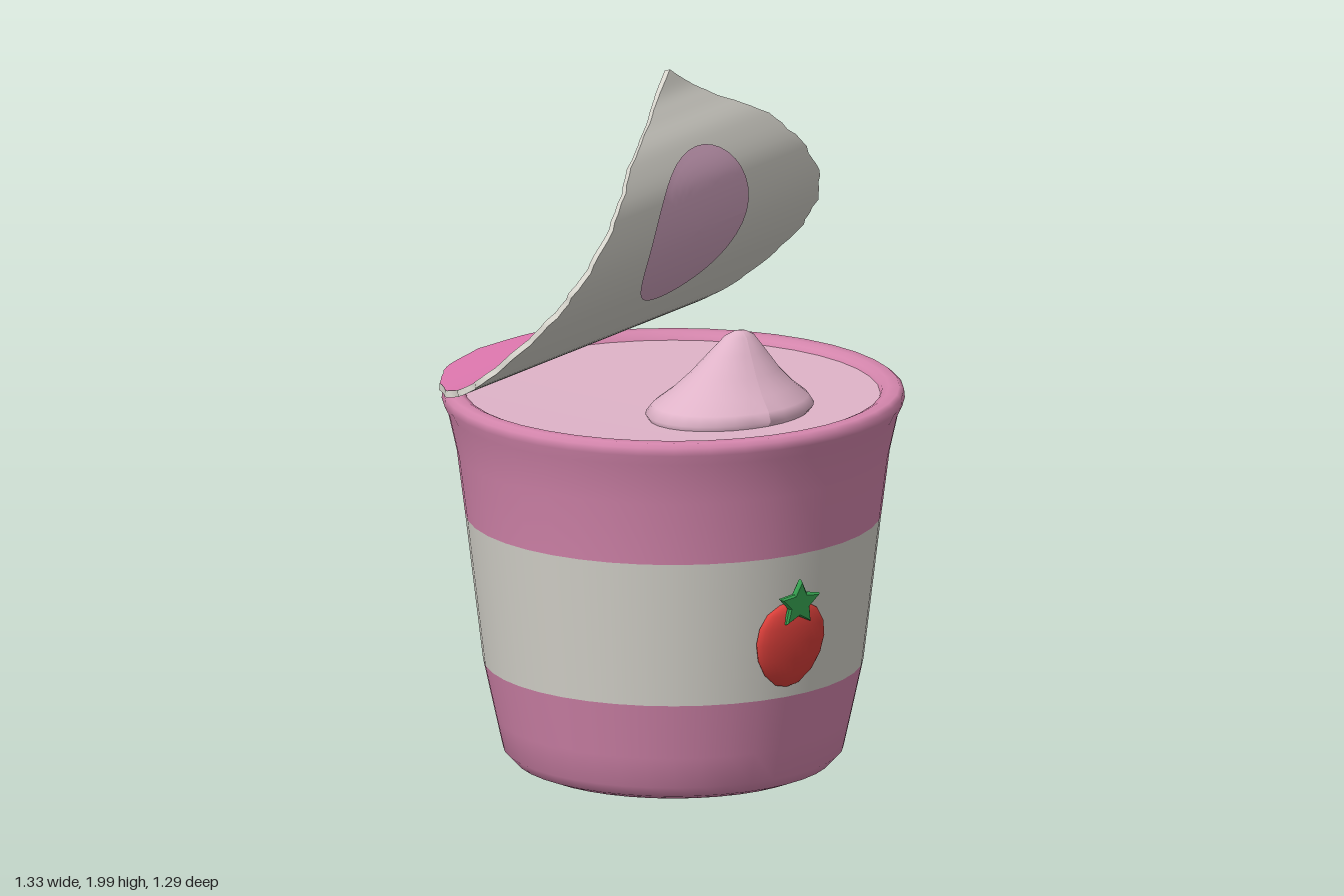
import * as THREE from 'three';

const paint = (name, color, side = THREE.FrontSide) => {
  const m = new THREE.MeshStandardMaterial({ color, side });
  m.name = name;
  return m;
};

// Grid surface from a rule fn(u, v) -> Vector3
function sheet(nu, nv, fn) {
  const pos = [], idx = [];
  for (let i = 0; i <= nu; i++) {
    for (let j = 0; j <= nv; j++) {
      const p = fn(i / nu, j / nv);
      pos.push(p.x, p.y, p.z);
      if (i < nu && j < nv) {
        const a = i * (nv + 1) + j, b = a + nv + 1;
        idx.push(a, a + 1, b, b, a + 1, b + 1);
      }
    }
  }
  const g = new THREE.BufferGeometry();
  g.setAttribute('position', new THREE.Float32BufferAttribute(pos, 3));
  g.setIndex(idx);
  g.computeVertexNormals();
  return g;
}

const lathe = (pts, segments = 40) =>
  new THREE.LatheGeometry(pts.map(([r, y]) => new THREE.Vector2(r, y)), segments);

// Peeled lid cross-sections: distance forward, height, half width
const lidCurve = new THREE.CatmullRomCurve3([
  [-0.645, 1.09, 0], [-0.61, 1.09, 0.22], [-0.5, 1.097, 0.42], [-0.38, 1.125, 0.545],
  [-0.25, 1.19, 0.63], [-0.11, 1.3, 0.655], [0.02, 1.43, 0.645], [0.095, 1.555, 0.595],
  [0.115, 1.68, 0.49], [0.08, 1.8, 0.35], [0.03, 1.88, 0.18], [0, 1.93, 0.09], [-0.02, 1.99, 0],
].map((p) => new THREE.Vector3(...p)));
const SIN = 0.36, COS = 0.933;

// Point on the lid: u along the peel, t across it, off towards the front/underside
function lidPoint(u, t, off) {
  const p = lidCurve.getPoint(u), d = lidCurve.getTangent(u);
  const len = Math.hypot(d.x, d.y) || 1;
  const s = p.x + (off * d.y) / len, y = p.y - (off * d.x) / len;
  return new THREE.Vector3(SIN * s + COS * t, y, COS * s - SIN * t);
}

// Slightly ragged torn edge
const lidWidth = (u) => Math.max(0, lidCurve.getPoint(u).z)
  * (1 + 0.012 * Math.sin(u * 95) + 0.008 * Math.sin(u * 211));

// Peel parameter at a given height
function uAtHeight(y) {
  let lo = 0.2, hi = 1;
  for (let i = 0; i < 24; i++) {
    const mid = (lo + hi) / 2;
    if (lidCurve.getPoint(mid).y < y) lo = mid; else hi = mid;
  }
  return lo;
}

export function createModel() {
  const model = new THREE.Group();
  const pink = paint('cup pink', 0xd586ad);
  const white = paint('off white', 0xd6d4cc, THREE.DoubleSide);
  const hotPink = paint('lid pink', 0xe078b0, THREE.DoubleSide);
  const cream = paint('pale pink cream', 0xdfb3c8);
  const spot = paint('lid spot pink', 0xd3a5c1, THREE.DoubleSide);
  const red = paint('berry red', 0xdb3f3a);
  const green = paint('leaf green', 0x35a04f);

  const add = (name, geometry, material, parent = model) => {
    const m = new THREE.Mesh(geometry, material);
    m.name = name;
    parent.add(m);
    return m;
  };

  // Cup in three colour bands
  add('cupBase', lathe([[0, 0.01], [0.4, 0], [0.445, 0.018], [0.475, 0.05], [0.495, 0.14], [0.53, 0.3]]), pink);
  add('cupBand', lathe([[0.53, 0.3], [0.555, 0.51], [0.58, 0.72]]), white);
  add('cupTop', lathe([[0.58, 0.72], [0.603, 0.9], [0.63, 1.02], [0.645, 1.05], [0.643, 1.072],
    [0.63, 1.083], [0.6, 1.083], [0.582, 1.075], [0.572, 1.05]]), pink);

  // Filling and its peaked dollop
  add('filling', lathe([[0.58, 1.062], [0.3, 1.06], [0, 1.06]]), cream);
  const dollop = lathe([[0.235, 1.05], [0.255, 1.075], [0.235, 1.1], [0.185, 1.135], [0.135, 1.18],
    [0.085, 1.235], [0.045, 1.278], [0.02, 1.29], [0, 1.293]], 28);
  const dp = dollop.attributes.position;
  for (let i = 0; i < dp.count; i++) {
    const lift = (dp.getY(i) - 1.05) / 0.24;
    dp.setX(i, dp.getX(i) + 0.04 * lift);
    dp.setZ(i, dp.getZ(i) * 0.76 + 0.26);
  }
  dollop.computeVertexNormals();
  add('dollop', dollop, cream);

  // Peeled lid: foil underside, coloured top and torn edges
  const lid = new THREE.Group();
  lid.name = 'lid';
  model.add(lid);
  const T = 0.009;
  add('lidUnderside', sheet(72, 24, (u, v) => lidPoint(u, lidWidth(u) * (2 * v - 1), T)), white, lid);
  add('lidTop', sheet(72, 24, (u, v) => lidPoint(u, lidWidth(u) * (2 * v - 1) * 0.985, -T)), hotPink, lid);
  for (const side of [-1, 1]) {
    add('lidEdge', sheet(72, 1, (u, v) =>
      lidPoint(u, side * lidWidth(u) * (v ? 0.985 : 1), v ? -T : T)), white, lid);
  }

  // Round spot on the underside
  add('lidSpot', sheet(10, 40, (r, v) => {
    const a = v * Math.PI * 2;
    const u = uAtHeight(1.56 + 0.23 * r * Math.sin(a));
    const x = 0.23 * r * Math.cos(a);
    return lidPoint(u, (x - SIN * lidCurve.getPoint(u).x) / COS, T + 0.004);
  }), spot, lid);

  // Pale patch at the crease on the top side
  const u0 = uAtHeight(1.145), u1 = uAtHeight(1.205);
  add('lidPatch', sheet(6, 16, (u, v) =>
    lidPoint(u0 + (u1 - u0) * u, (2 * v - 1) * (0.14 + 0.07 * u) - 0.01, -T - 0.004)), white, lid);

  // Strawberry badge leaning with the cup wall
  const berry = new THREE.Group();
  berry.name = 'strawberry';
  berry.position.set(0, 0.455, 0.55);
  berry.rotation.x = 0.12;
  model.add(berry);
  const body = add('berryBody', lathe([[0, -0.125], [0.04, -0.115], [0.08, -0.08], [0.105, -0.035],
    [0.115, 0.015], [0.108, 0.06], [0.085, 0.098], [0.045, 0.122], [0, 0.128]], 28), red, berry);
  body.scale.z = 0.28;
  const star = new THREE.Shape();
  for (let i = 0; i < 10; i++) {
    const a = Math.PI / 2 + (i * Math.PI) / 5, r = i % 2 ? 0.031 : 0.064;
    star[i ? 'lineTo' : 'moveTo'](r * Math.cos(a), r * Math.sin(a));
  }
  const leaf = add('berryLeaf', new THREE.ExtrudeGeometry(star, {
    depth: 0.008, bevelEnabled: true, bevelSize: 0.005, bevelThickness: 0.006, bevelSegments: 1,
  }), green, berry);
  leaf.position.set(0, 0.132, 0.022);

  return model;
}
